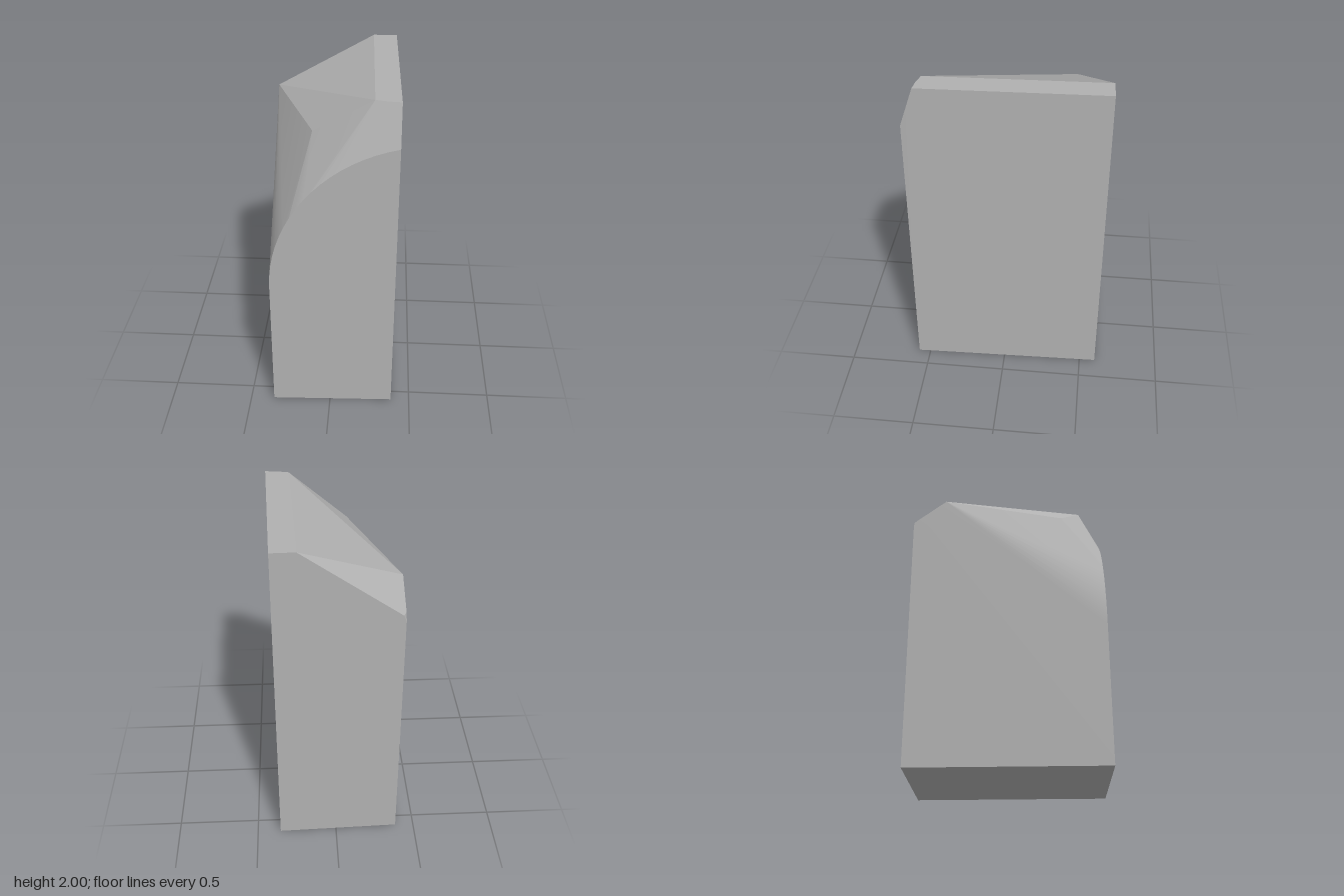
import * as THREE from 'three';
import { ConvexGeometry } from 'three/addons/geometries/ConvexGeometry.js';
import { toCreasedNormals } from 'three/addons/utils/BufferGeometryUtils.js';

const v = (x, y, z) => new THREE.Vector3(x, y, z);
// The footprint is turned very slightly, so each wall is a tilted line in plan
const frontZ = x => THREE.MathUtils.mapLinear(x, -0.355, 0.385, 0.6, 0.575);
const backZ = x => THREE.MathUtils.mapLinear(x, -0.385, 0.355, -0.58, -0.6);
const sideX = z => THREE.MathUtils.mapLinear(z, -0.58, 0.6, -0.385, -0.355);

export function createModel() {
  const group = new THREE.Group();
  group.name = 'carvedBlock';
  const grey = new THREE.MeshStandardMaterial({ color: 0xb0b0b0 });
  grey.name = 'plain grey';

  const points = [
    // base corners
    v(-0.385, 0, -0.58), v(0.355, 0, -0.6), v(0.385, 0, 0.575), v(-0.355, 0, 0.6),
    // flat top strip along the tall wall
    v(0.21, 2, backZ(0.21)), v(0.355, 2, -0.6),
    v(0.385, 2, 0.495), v(0.31, 2, 0.487), v(0.24, 2, 0.47),
    // low back corner with its small rounding
    v(-0.385, 1.55, -0.58), v(-0.37, 1.59, backZ(-0.37)), v(sideX(-0.555), 1.6, -0.555),
    // peak of the low wall and shoulder of the sloping roof
    v(sideX(-0.38), 1.735, -0.38), v(-0.11, 1.755, 0.345),
  ];
  // circular upper edge of the front wall
  const radius = 0.92, steps = 18, sweep = Math.acos(0.18 / radius);
  for (let i = 0; i <= steps; i++) {
    const a = sweep * i / steps;
    const x = 0.565 - radius * Math.cos(a);
    points.push(v(x, 0.86 + radius * Math.sin(a), frontZ(x)));
  }

  const block = new THREE.Mesh(toCreasedNormals(new ConvexGeometry(points), 0.12), grey);
  block.name = 'block';
  group.add(block);
  return group;
}
